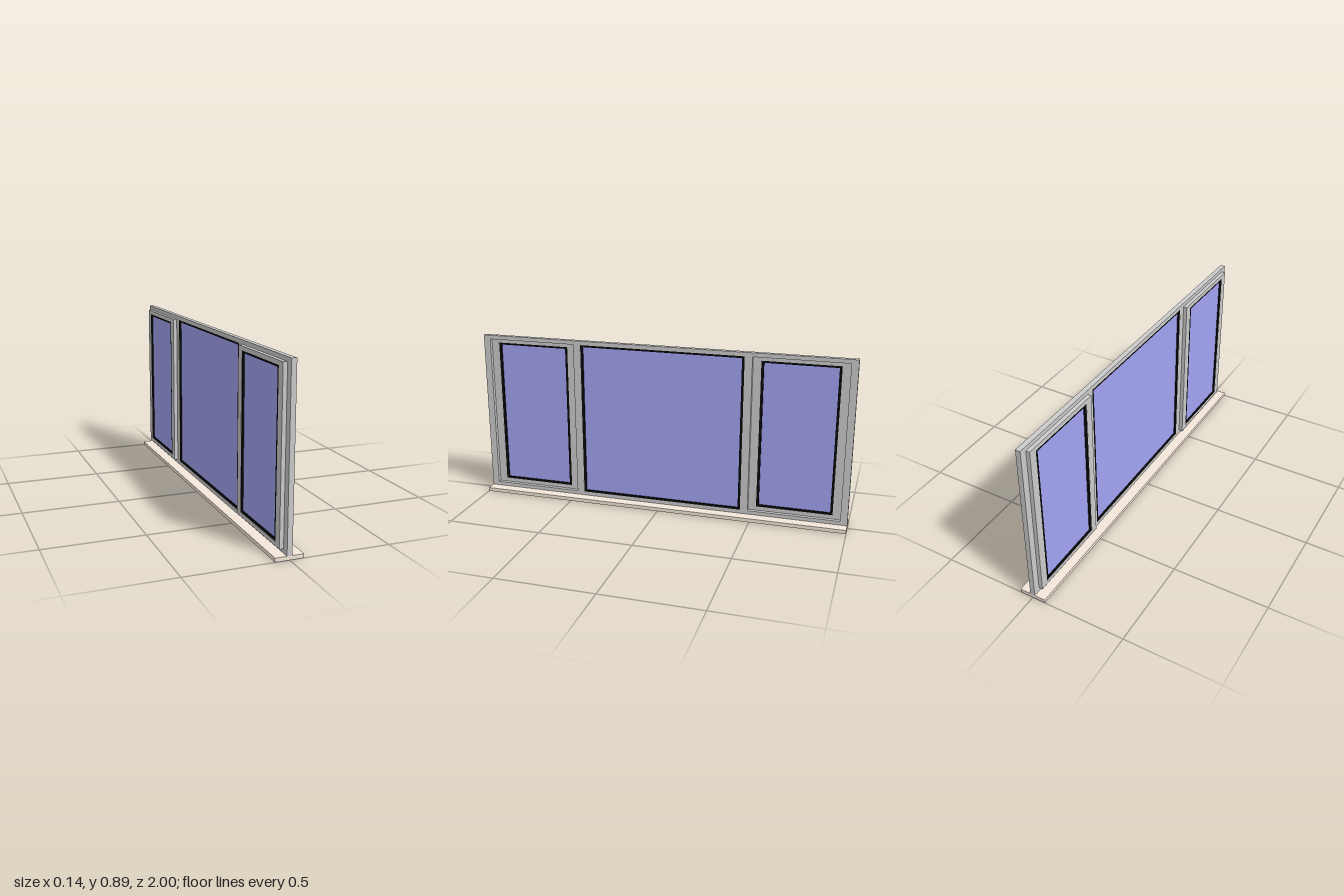
import * as THREE from 'three';

const FRAME = new THREE.MeshStandardMaterial({ color: 0xcccccc });
const GASKET = new THREE.MeshStandardMaterial({ color: 0x0a0a0a });
const GLASS = new THREE.MeshStandardMaterial({ color: 0xa3a3f3 });
const SILL = new THREE.MeshStandardMaterial({ color: 0xf3e7d9 });

const DEPTH = 0.026;

// Rectangles are [z0, z1, y0, y1]
function trace(path, [z0, z1, y0, y1]) {
  path.moveTo(z0, y0);
  path.lineTo(z1, y0);
  path.lineTo(z1, y1);
  path.lineTo(z0, y1);
  path.closePath();
  return path;
}

const inset = ([z0, z1, y0, y1], dz, dy) => [z0 + dz, z1 - dz, y0 + dy, y1 - dy];

// Flat panel in the z-y plane with rectangular holes, centred on x
function panel(name, outer, holes, depth, x, material) {
  const shape = trace(new THREE.Shape(), outer);
  holes.forEach(h => shape.holes.push(trace(new THREE.Path(), h)));
  const geo = new THREE.ExtrudeGeometry(shape, { depth, bevelEnabled: false });
  geo.translate(0, 0, -depth / 2);
  geo.rotateY(-Math.PI / 2);
  geo.translate(x, 0, 0);
  const mesh = new THREE.Mesh(geo, material);
  mesh.name = name;
  return mesh;
}

// Black seal around a recessed pane
function glazing(name, rect, x) {
  const group = new THREE.Group();
  group.name = name;
  const paneRect = inset(rect, 0.013, 0.01);
  group.add(
    panel('gasket', rect, [paneRect], DEPTH - 0.002, x, GASKET),
    panel('pane', paneRect, [], 0.008, x, GLASS)
  );
  return group;
}

export function createModel() {
  const model = new THREE.Group();
  model.name = 'window';

  // Sill board
  const sill = new THREE.Mesh(new THREE.BoxGeometry(0.14, 0.02, 2), SILL);
  sill.name = 'sill';
  sill.position.y = 0.01;
  model.add(sill);

  // Outer frame with two mullions
  const y0 = 0.04, y1 = 0.872;
  const centre = [-0.44, 0.44, y0, y1];
  const sides = [[0.48, 0.963, y0, y1], [-0.963, -0.48, y0, y1]];
  model.add(panel('frame', [-1, 1, 0.02, 0.893], [centre, ...sides], DEPTH, 0, FRAME));

  // Fixed central pane
  model.add(glazing('centreGlazing', centre, 0));

  // Opening sashes, set back towards -x
  sides.forEach((rect, i) => {
    const sash = new THREE.Group();
    sash.name = i === 0 ? 'frontSash' : 'rearSash';
    const opening = inset(rect, 0.042, 0.021);
    sash.add(
      panel('sashFrame', rect, [opening], DEPTH, -0.02, FRAME),
      glazing('sashGlazing', opening, -0.02)
    );
    model.add(sash);
  });

  return model;
}
